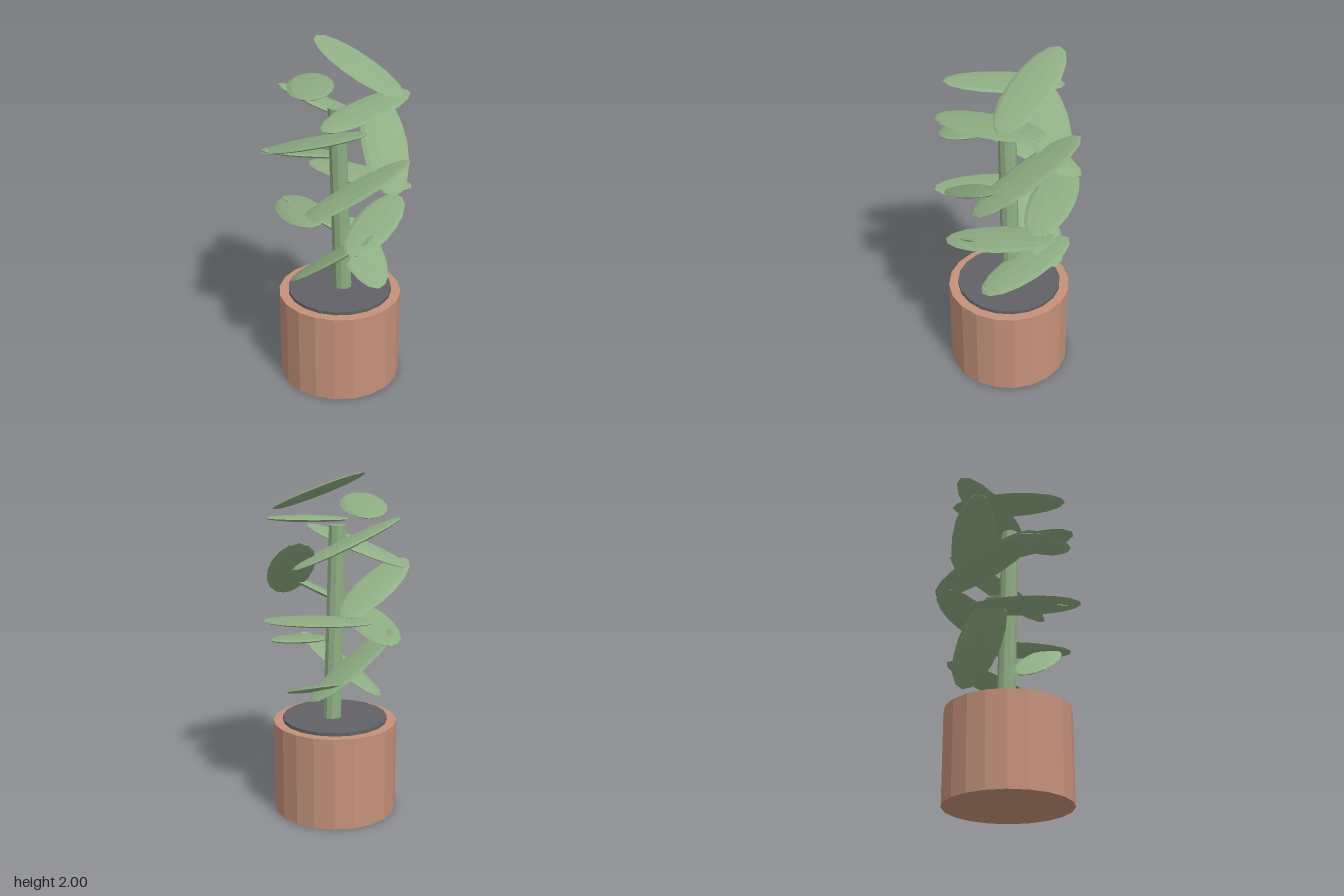
import * as THREE from 'three';

const material = (color) => new THREE.MeshStandardMaterial({ color, flatShading: true });
const clay = material(0xc4917a);
const earth = material(0x626266);
const green = material(0x8fae84);

function add(parent, name, geometry, mat, x = 0, y = 0, z = 0) {
  const mesh = new THREE.Mesh(geometry, mat);
  mesh.name = name;
  mesh.position.set(x, y, z);
  parent.add(mesh);
  return mesh;
}

// Tip-to-tip end points of each leaf, spiralling up the stem
const leafTips = [
  [[0.10, 0.65, 0.30], [0.22, 0.85, -0.26]],
  [[0.04, 1.01, 0.33], [-0.27, 0.65, -0.06]],
  [[-0.23, 1.10, -0.22], [0.27, 0.73, -0.12]],
  [[-0.13, 0.95, 0.37], [0.40, 1.065, 0.02]],
  [[-0.33, 1.145, 0.29], [-0.12, 1.04, -0.34]],
  [[0.40, 1.16, 0.17], [0.05, 1.205, -0.40]],
  [[-0.33, 1.10, 0.14], [0.25, 1.43, 0.36]],
  [[-0.41, 1.47, -0.07], [0.21, 1.24, -0.35]],
  [[0.13, 1.25, 0.38], [0.37, 1.635, -0.17]],
  [[-0.05, 1.645, 0.39], [-0.37, 1.43, -0.18]],
  [[-0.19, 1.745, -0.32], [0.34, 1.47, -0.05]],
  [[-0.26, 1.67, 0.30], [0.39, 1.735, 0.10]],
  [[-0.30, 1.825, 0.22], [0.05, 1.76, -0.35]],
  [[0.24, 1.76, 0.28], [0.05, 1.995, -0.30]],
];

// Flattened ball stretched between two tips, its width kept level
function addLeaf(parent, tipA, tipB) {
  const a = new THREE.Vector3(...tipA);
  const b = new THREE.Vector3(...tipB);
  const along = b.clone().sub(a);
  const length = along.length();
  along.normalize();
  const across = new THREE.Vector3(0, 1, 0).cross(along).normalize();
  const normal = across.clone().cross(along);
  const leaf = add(parent, 'leaf', new THREE.SphereGeometry(1, 10, 8), green);
  leaf.quaternion.setFromRotationMatrix(new THREE.Matrix4().makeBasis(across, along, normal));
  leaf.scale.set(0.13, length / 2, 0.019);
  leaf.position.copy(a).add(b).multiplyScalar(0.5);
}

export function createModel() {
  const plant = new THREE.Group();
  plant.name = 'pottedPlant';

  // Pot and the disc of soil standing just above its rim
  add(plant, 'pot', new THREE.CylinderGeometry(0.36, 0.36, 0.54, 20), clay, 0.01, 0.27, 0.02);
  add(plant, 'soil', new THREE.CylinderGeometry(0.305, 0.305, 0.04, 20), earth, 0.01, 0.54, 0.02);

  // Slightly leaning stem
  const stem = add(plant, 'stem', new THREE.CylinderGeometry(0.051, 0.054, 1.14, 10), green, 0.01, 1.11, 0.02);
  stem.rotation.z = 0.035;

  // Leaves
  const leaves = new THREE.Group();
  leaves.name = 'leaves';
  for (const [a, b] of leafTips) addLeaf(leaves, a, b);
  plant.add(leaves);

  return plant;
}
